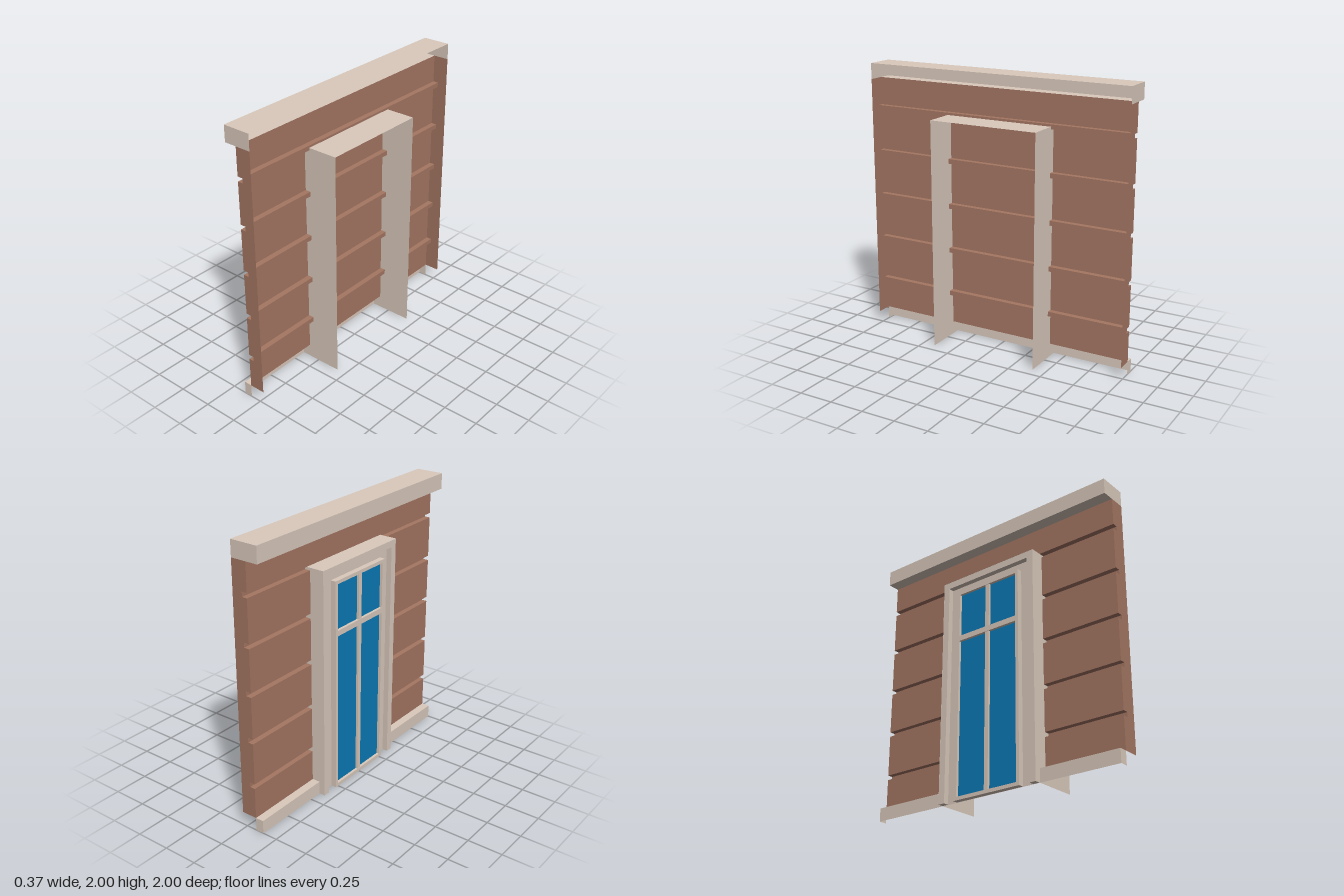
import * as THREE from 'three';
import { mergeGeometries } from 'three/addons/utils/BufferGeometryUtils.js';

const paint = (color) => new THREE.MeshStandardMaterial({ color, side: THREE.DoubleSide });
const stone = paint(0xdbcabd);
const clay = paint(0xa57763);
const glass = paint(0x0b7bb8);

function addMesh(group, name, geometry, material) {
  const mesh = new THREE.Mesh(geometry, material);
  mesh.name = name;
  group.add(mesh);
  return mesh;
}

// Open moulding: an (x, y) profile swept along z without a back, with flat end caps.
// capEnd holds the extra corners that close the cap outline.
function moulding(profile, z0, z1, capEnd = []) {
  const pos = [];
  for (let i = 0; i + 1 < profile.length; i++) {
    const [p, q] = [profile[i], profile[i + 1]];
    const a = [...p, z0], b = [...q, z0], c = [...q, z1], d = [...p, z1];
    pos.push(...a, ...b, ...c, ...a, ...c, ...d);
  }
  const strip = new THREE.BufferGeometry();
  strip.setAttribute('position', new THREE.Float32BufferAttribute(pos, 3));
  strip.computeVertexNormals();

  const cap = (sign) => {
    const outline = [...profile, ...capEnd].map(([x, y]) => new THREE.Vector2(sign * x, y));
    const g = new THREE.ShapeGeometry(new THREE.Shape(outline));
    if (sign < 0) g.rotateY(Math.PI);
    g.translate(0, 0, sign > 0 ? z1 : z0);
    g.deleteAttribute('uv');
    return g.toNonIndexed();
  };
  return mergeGeometries([strip, cap(1), cap(-1)]);
}

// Box given by its limits on each axis
function box(x0, x1, y0, y1, z0, z1) {
  return new THREE.BoxGeometry(x1 - x0, y1 - y0, z1 - z0)
    .translate((x0 + x1) / 2, (y0 + y1) / 2, (z0 + z1) / 2);
}

export function createModel() {
  const model = new THREE.Group();
  model.name = 'wallWithDoor';

  // Wall shell with five horizontal grooves
  const face = -0.08, groove = -0.04, back = 0.035;
  const wall = [[face, 1.885]];
  for (let i = 4; i >= 0; i--) {
    const y = 0.32 + i * 0.333;
    wall.push([face, y + 0.034], [groove, y + 0.034], [groove, y], [face, y]);
  }
  wall.push([face, 0.095]);
  addMesh(model, 'groovedWall', moulding(wall, -1, 1, [[back, 0.095], [back, 1.885]]), clay);

  // Cornice and plinth
  addMesh(model, 'cornice',
    moulding([[back, 2], [-0.17, 2], [-0.17, 1.885], [face, 1.885]], -1, 1, [[back, 1.885]]), stone);
  addMesh(model, 'plinth',
    moulding([[face, 0.095], [-0.14, 0.095], [-0.14, 0]], -1, 1, [[face, 0]]), stone);

  // Door surround
  const door = new THREE.Group();
  door.name = 'door';
  model.add(door);
  const front = -0.185, rear = 0.18, half = 0.405, top = 1.67, edge = 0.05, floor = -0.145;

  // Thin lining that runs through the wall: two sides and a head
  for (const s of [-1, 1]) {
    const side = new THREE.PlaneGeometry(rear - front, top);
    if (s < 0) side.rotateY(Math.PI);
    side.translate((front + rear) / 2, top / 2, s * half);
    addMesh(door, 'liningSide', side, stone);
    addMesh(door, 'jamb',
      box(front, floor, 0, top - edge, ...(s > 0 ? [half - edge, half - 0.001] : [0.001 - half, edge - half])), stone);
  }
  const head = new THREE.PlaneGeometry(rear - front, 2 * half);
  head.rotateX(-Math.PI / 2).translate((front + rear) / 2, top, 0);
  addMesh(door, 'liningHead', head, stone);
  addMesh(door, 'lintel', box(front, floor, top - edge, top - 0.001, 0.001 - half, half - 0.001), stone);

  // Recessed panel behind the leaf
  const panel = new THREE.PlaneGeometry(2 * half - 2 * edge, top - edge);
  panel.rotateY(-Math.PI / 2).translate(floor, (top - edge) / 2, 0);
  addMesh(door, 'recessPanel', panel, stone);

  // Glazed leaf: stiles, rails, mullion and transom around the glass
  const leafHalf = 0.275, leafTop = 1.56, rail = 0.025, inner = leafHalf - rail;
  const bars = [
    ['stile', 0, leafTop, -leafHalf, -inner],
    ['stile', 0, leafTop, inner, leafHalf],
    ['bottomRail', 0, rail, -inner, inner],
    ['topRail', leafTop - rail, leafTop, -inner, inner],
    ['mullion', rail, leafTop - rail, -0.016, 0.016],
    ['transom', 1.165, 1.205, -inner, inner],
  ];
  for (const [name, ...limits] of bars) {
    addMesh(door, name, box(front + (name === 'mullion' ? 0.003 : 0), floor, ...limits), stone);
  }
  addMesh(door, 'glass', box(front + 0.02, floor, rail, leafTop - rail, -inner, inner), glass);

  return model;
}
